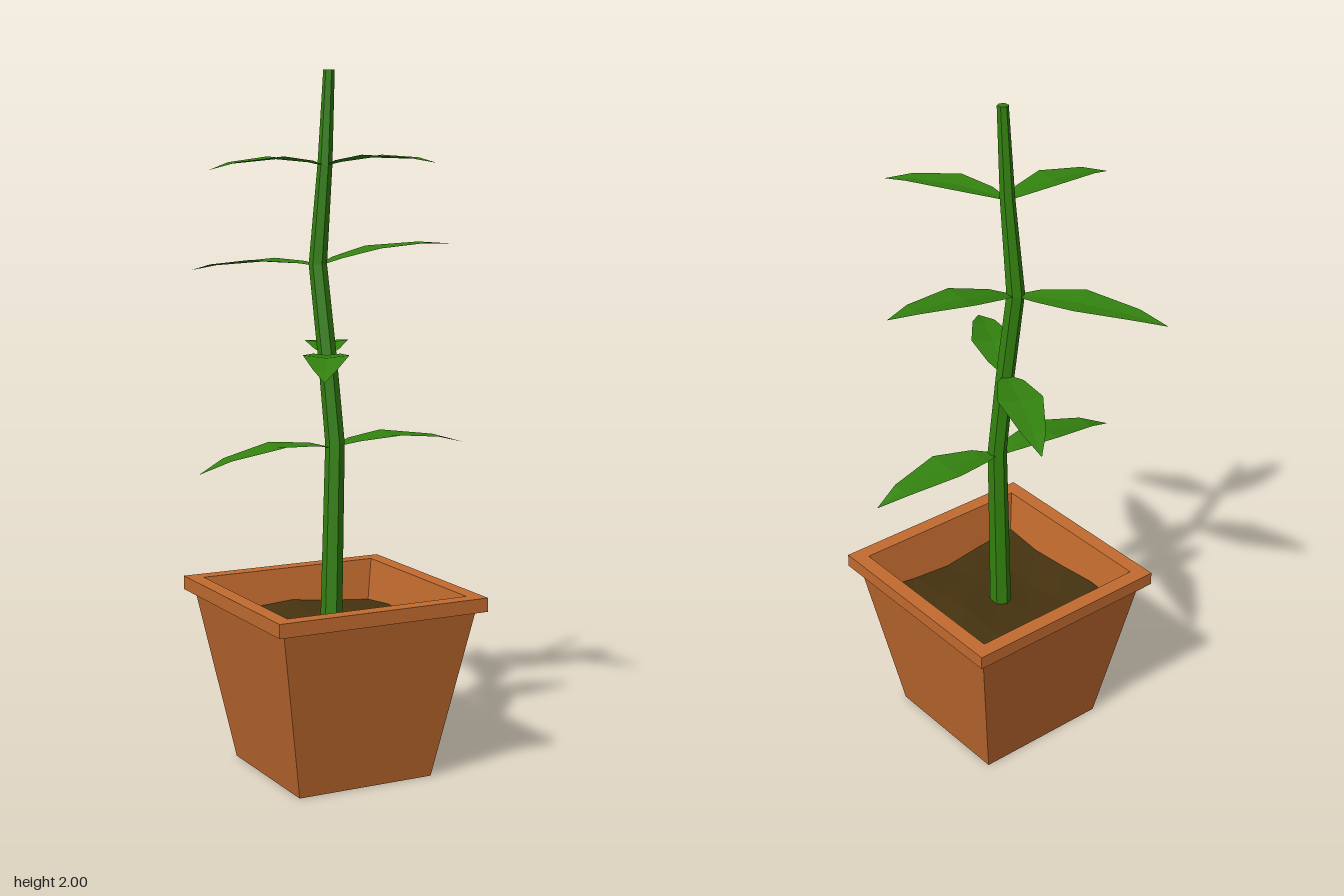
import * as THREE from 'three';

const terracotta = new THREE.MeshStandardMaterial({ color: 0xc26b2f, flatShading: true });
terracotta.name = 'terracotta';
const earth = new THREE.MeshStandardMaterial({ color: 0x463310, flatShading: true });
earth.name = 'earth';
const green = new THREE.MeshStandardMaterial({ color: 0x33820f, flatShading: true, side: THREE.DoubleSide });
green.name = 'plantGreen';

const POT = { x: -0.02, z: 0.035, top: 0.535 };

// Stem rings: y, x, z, radius
const STEM = [
  [0.38, -0.016, 0.02, 0.032],
  [0.95, -0.003, 0.02, 0.028],
  [1.2, -0.02, 0.005, 0.027],
  [1.46, -0.038, -0.018, 0.026],
  [1.74, -0.027, 0.005, 0.021],
  [2, -0.021, 0.018, 0.016],
];

function stemAt(y) {
  let i = 0;
  while (i < STEM.length - 2 && y > STEM[i + 1][0]) i++;
  const [a, b] = [STEM[i], STEM[i + 1]];
  const t = (y - a[0]) / (b[0] - a[0]);
  return new THREE.Vector3(a[1] + (b[1] - a[1]) * t, y, a[2] + (b[2] - a[2]) * t);
}

// Square pot: one four-sided profile running up the outside and down the inside
function makePot() {
  const profile = [
    [0, 0], [0.21, 0], [0.3, 0.495], [0.325, 0.495], [0.325, POT.top],
    [0.28, POT.top], [0.25, 0.37], [0, 0.37],
  ].map(([half, y]) => new THREE.Vector2(half * Math.SQRT2, y));
  const pot = new THREE.Mesh(new THREE.LatheGeometry(profile, 4, Math.PI / 4), terracotta);
  pot.name = 'pot';
  pot.position.set(POT.x, 0, POT.z);
  return pot;
}

// Lumpy soil, its edge following the sloping inner walls
function makeSoil() {
  const geo = new THREE.PlaneGeometry(2, 2, 4, 4).rotateX(-Math.PI / 2);
  const p = geo.attributes.position;
  for (let i = 0; i < p.count; i++) {
    const x = p.getX(i), z = p.getZ(i);
    const y = 0.415 + 0.018 * Math.sin(3 * x + 1.3 * z) * Math.cos(2.4 * z) - 0.012 * z;
    const half = 0.28 - (POT.top - y) * 0.18;
    p.setXYZ(i, x * half, y, z * half);
  }
  const soil = new THREE.Mesh(geo, earth);
  soil.name = 'soil';
  soil.position.set(POT.x, 0, POT.z);
  return soil;
}

// Bent six-sided stem: cylinder rings moved onto the ring list
function makeStem() {
  const n = STEM.length - 1;
  const geo = new THREE.CylinderGeometry(1, 1, 1, 6, n);
  const p = geo.attributes.position;
  for (let i = 0; i < p.count; i++) {
    const [y, x, z, r] = STEM[Math.round((p.getY(i) + 0.5) * n)];
    p.setXYZ(i, x + p.getX(i) * r, y, z + p.getZ(i) * r);
  }
  const stem = new THREE.Mesh(geo, green);
  stem.name = 'stem';
  return stem;
}

// Leaf cross-sections: share of length, half width
const LEAF = [[0, 0.006], [0.15, 0.038], [0.43, 0.064], [0.8, 0.033], [1, 0.001]];

// Arched leaf with a shallow fold along the midrib
function makeLeaf(baseY, tip, arch, width) {
  const base = stemAt(baseY);
  const end = new THREE.Vector3(...tip);
  const side = new THREE.Vector3(end.z - base.z, 0, base.x - end.x).normalize();
  const points = [], index = [];
  LEAF.forEach(([t, half], row) => {
    const mid = base.clone().lerp(end, t);
    mid.y += arch * 4 * t * (1 - t);
    for (const s of [-1, 0, 1]) {
      const v = mid.clone().addScaledVector(side, s * half * width);
      v.y += Math.abs(s) * half * 0.12;
      points.push(v);
    }
    if (row === 0) return;
    for (const k of [0, 1]) {
      const a = (row - 1) * 3 + k, b = a + 3;
      index.push(a, a + 1, b, a + 1, b + 1, b);
    }
  });
  const geo = new THREE.BufferGeometry().setFromPoints(points);
  geo.setIndex(index);
  // Turn the faces so that their fronts look up
  geo.computeVertexNormals();
  if (geo.attributes.normal.getY(4) < 0) {
    geo.setIndex(index.reverse());
    geo.computeVertexNormals();
  }
  const leaf = new THREE.Mesh(geo, green);
  leaf.name = 'leaf';
  return leaf;
}

export function createModel() {
  const model = new THREE.Group();
  model.name = 'pottedPlant';
  model.add(makePot(), makeSoil(), makeStem());

  // Four pairs of leaves: base height, tip, arch, width factor
  const leaves = new THREE.Group();
  leaves.name = 'leaves';
  [
    [0.935, [-0.42, 0.89, 0.01], 0.035, 0.95],
    [0.94, [0.42, 0.925, 0.025], 0.028, 1.05],
    [1.2, [-0.22, 1.175, 0.378], 0.025, 1],
    [1.2, [0.17, 1.19, -0.38], 0.025, 1],
    [1.455, [-0.27, 1.43, -0.38], 0.018, 1.05],
    [1.455, [0.382, 1.51, 0], 0.02, 1],
    [1.735, [0.155, 1.745, 0.31], 0.02, 0.85],
    [1.735, [-0.38, 1.725, 0], 0.024, 0.85],
  ].forEach((args) => leaves.add(makeLeaf(...args)));
  model.add(leaves);
  return model;
}
